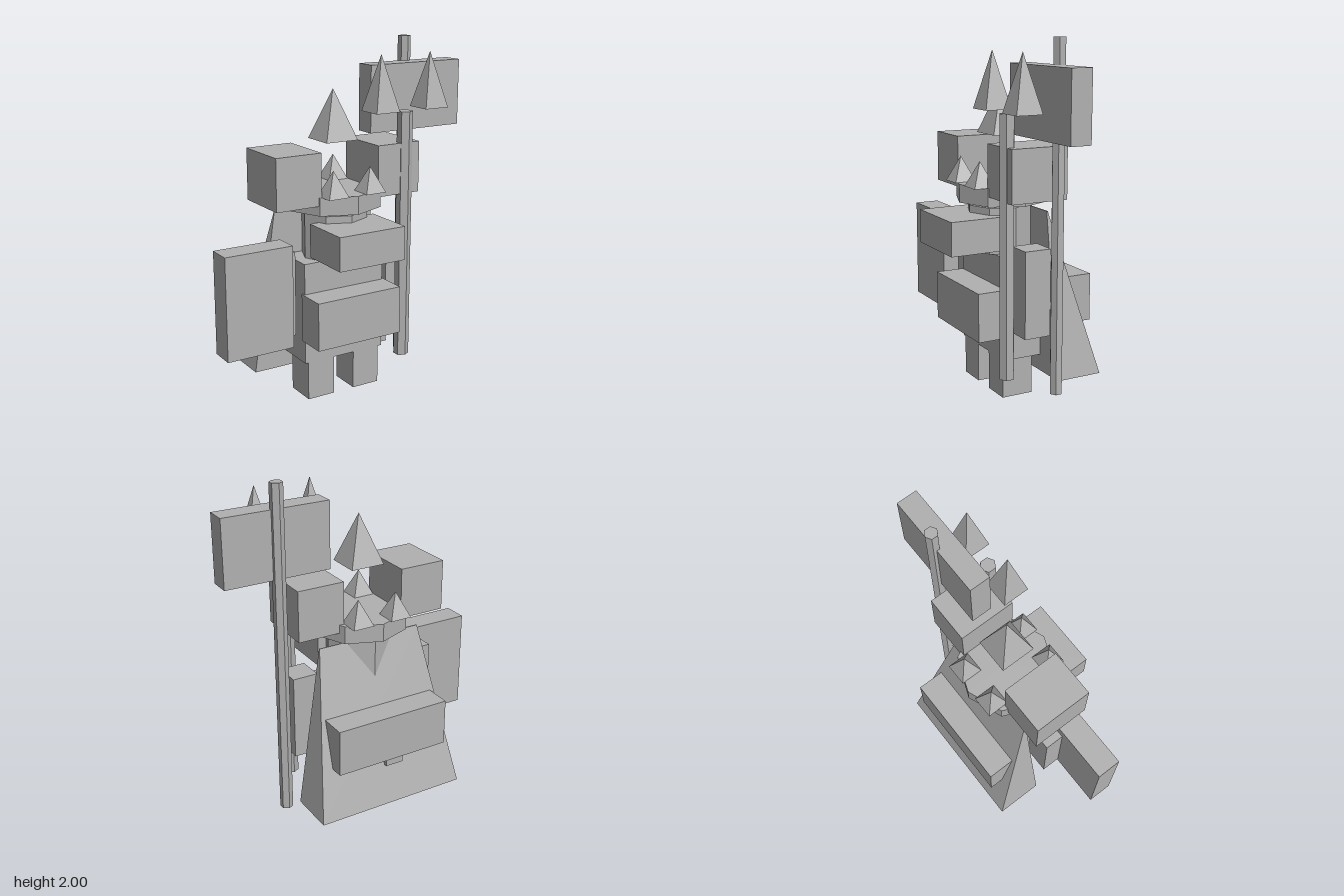
import * as THREE from 'three';

export function createModel() {
  const model = new THREE.Group();
  const grey = new THREE.MeshStandardMaterial({ color: 0xb0b0b0, flatShading: true });
  grey.name = 'plain grey';
  const axis = -0.03; // body centre line

  function add(name, geometry, x = 0, y = 0, z = 0) {
    const mesh = new THREE.Mesh(geometry, grey);
    mesh.name = name;
    mesh.position.set(x, y, z);
    model.add(mesh);
    return mesh;
  }
  // Box given by its limits on each axis
  function box(name, [x0, x1], [y0, y1], [z0, z1]) {
    return add(name, new THREE.BoxGeometry(x1 - x0, y1 - y0, z1 - z0),
      (x0 + x1) / 2, (y0 + y1) / 2, (z0 + z1) / 2);
  }
  // Upright prism with n sides
  function prism(name, n, r, y0, y1, x, z) {
    return add(name, new THREE.CylinderGeometry(r, r, y1 - y0, n), x, (y0 + y1) / 2, z);
  }
  // Square pyramid with sides along the axes
  function spike(name, half, y0, y1, x, z) {
    const geometry = new THREE.ConeGeometry(half * Math.SQRT2, y1 - y0, 4).rotateY(Math.PI / 4);
    return add(name, geometry, x, (y0 + y1) / 2, z);
  }

  // Torso, belt and face
  box('torso', [-0.285, 0.227], [0.225, 0.81], [-0.125, 0.108]);
  box('belt', [-0.295, 0.24], [0.36, 0.635], [0.09, 0.273]);
  prism('head', 8, 0.19, 0.81, 1.07, axis, 0);
  box('face', [-0.238, 0.175], [0.84, 1.03], [0.09, 0.4]);

  // Paired limbs and shoulder blocks
  for (const [side, s] of [['left', 1], ['right', -1]]) {
    const span = (a, b) => [axis + s * a, axis + s * b].sort((p, q) => p - q);
    box(side + 'Leg', span(0.065, 0.235), [0, 0.228], [-0.08, 0.106]);
    box(side + 'Arm', span(0.3, 0.448), [0.4, 0.885], [-0.07, 0.085]);
    box(side + 'Shoulder', span(0.182, 0.456), [1.145, 1.435], [-0.163, 0.172]);
  }

  // Crown with four corner spikes and one tall floating spike
  prism('crown', 8, 0.278, 1.09, 1.192, axis, -0.01).scale.z = 0.945;
  for (const x of [-0.147, 0.088])
    for (const z of [-0.203, 0.185]) spike('crownSpike', 0.063, 1.19, 1.333, x, z);
  spike('tallSpike', 0.1, 1.463, 1.743, axis, -0.01);

  // Cape: a wedge, thin at the top and deep at the hem
  const cape = new THREE.BoxGeometry(1, 1, 1);
  const p = cape.attributes.position;
  for (let i = 0; i < p.count; i++) {
    const top = p.getY(i) > 0;
    p.setXYZ(i,
      axis + Math.sign(p.getX(i)) * (top ? 0.315 : 0.453),
      top ? 1.062 : 0.13,
      p.getZ(i) > 0 ? -0.122 : (top ? -0.128 : -0.395));
  }
  cape.computeVertexNormals();
  add('cape', cape);

  // Pack on the cape
  box('backPack', [-0.375, 0.315], [0.415, 0.685], [-0.392, -0.235]);
  box('packTag', [-0.12, -0.01], [0.35, 0.43], [-0.352, -0.25]);

  // Shield
  box('shield', [-0.795, -0.398], [0.376, 0.955], [0.04, 0.182]);

  // Fork: shaft and two prongs
  prism('forkShaft', 6, 0.044, 0.17, 1.61, 0.338, 0.154);
  for (const x of [0.175, 0.501]) spike('forkProng', 0.076, 1.62, 1.93, x, 0.154);

  // Banner on its pole
  prism('bannerPole', 6, 0.0365, 0.095, 2, 0.484, -0.07);
  box('banner', [0.18, 0.79], [1.482, 1.86], [-0.07, 0.05]);

  return model;
}
